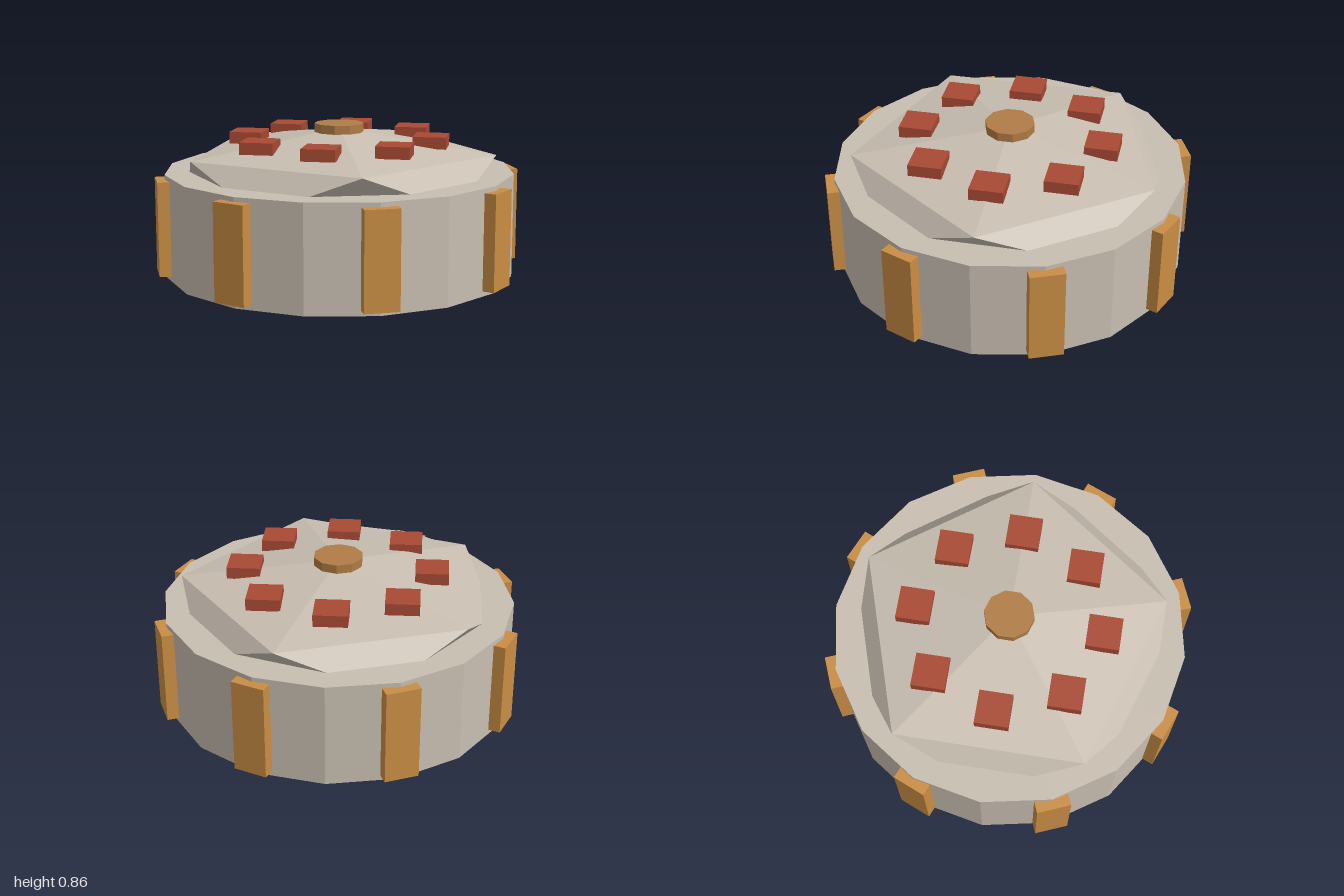
import * as THREE from 'three';

export function createModel() {
  const model = new THREE.Group();
  const material = (name, color) => {
    const m = new THREE.MeshStandardMaterial({ color, flatShading: true });
    m.name = name;
    return m;
  };
  const stone = material('pale stone', 0xc8beb1);
  const ochre = material('ochre', 0xc98d44);
  const bronze = material('bronze', 0xb07c46);
  const red = material('brick red', 0xa84a33);

  const add = (name, geometry, mat, x, y, z, turn = 0) => {
    const mesh = new THREE.Mesh(geometry, mat);
    mesh.name = name;
    mesh.position.set(x, y, z);
    mesh.rotation.y = turn;
    model.add(mesh);
  };

  // Sixteen-sided drum
  const drumTop = 0.59;
  add('drum', new THREE.CylinderGeometry(0.995, 0.995, drumTop, 16), stone, 0, drumTop / 2, 0);

  // Flattened icosahedron, one point up, its lower half sunk in the drum
  const dome = new THREE.IcosahedronGeometry(1, 0);
  dome.rotateZ(-Math.atan(2 / (1 + Math.sqrt(5))));
  dome.scale(1, 0.235, 1);
  add('dome', dome, stone, 0, drumTop, 0);

  // Ten-sided cap at the peak
  add('cap', new THREE.CylinderGeometry(0.14, 0.14, 0.05, 10), bronze, 0, 0.83, 0);

  // Ring of square blocks, all aligned with the axes
  const block = new THREE.BoxGeometry(0.187, 0.067, 0.187);
  // Upright ribs around the drum, facing outwards
  const rib = new THREE.BoxGeometry(0.19, 0.535, 0.12);
  for (let i = 0; i < 8; i++) {
    const a = (i * Math.PI) / 4;
    add('roofBlock', block, red, 0.527 * Math.sin(a), 0.765, 0.527 * Math.cos(a));
    const b = a + Math.PI / 8;
    add('rib', rib, ochre, 0.983 * Math.sin(b), 0.297, 0.983 * Math.cos(b), b);
  }
  return model;
}
